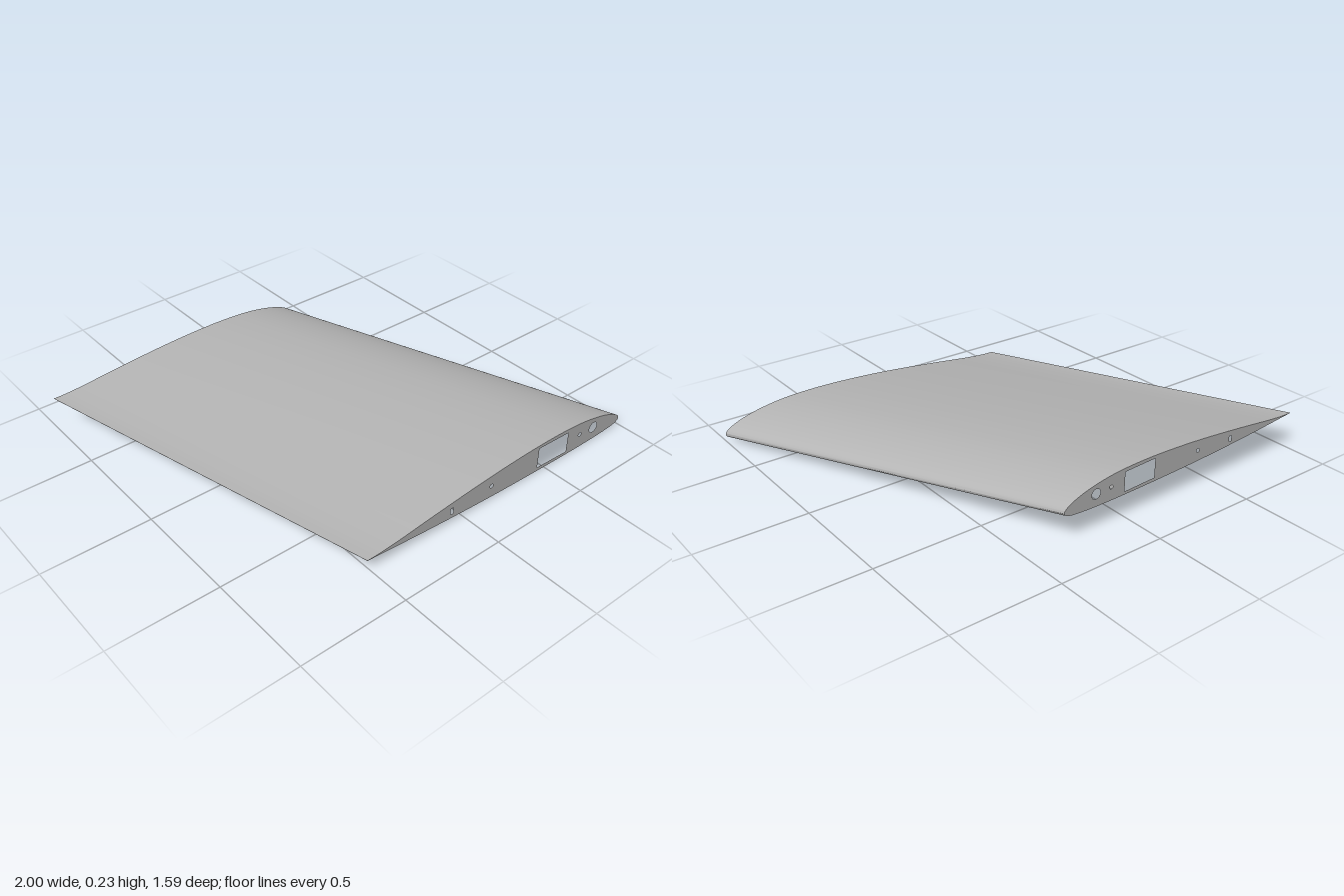
import * as THREE from 'three';
import { toCreasedNormals } from 'three/addons/utils/BufferGeometryUtils.js';

const HALF_SPAN = 0.795;
const TAIL_X = -0.515, TAIL_Y = 0.06; // trailing edge of the front section
const TAPER = 0.871, TWIST = 0.0145; // size and nose-down shear of the rear section

// Airfoil of the front end: trailing edge, over the top, round the nose, back underneath
const AIRFOIL = [
  [-0.515, 0.06], [-0.46, 0.061], [-0.36, 0.069], [-0.2, 0.088], [0, 0.11], [0.2, 0.128],
  [0.4, 0.139], [0.55, 0.141], [0.7, 0.134], [0.82, 0.116], [0.91, 0.092], [0.965, 0.069],
  [0.992, 0.05], [1, 0.036], [0.993, 0.023], [0.965, 0.012], [0.9, 0.005], [0.8, 0.001],
  [0.65, 0], [0.45, 0.003], [0.2, 0.01], [0, 0.02], [-0.2, 0.033], [-0.515, 0.059],
];

function roundHole(x, y, r) {
  return new THREE.Path().absarc(x, y, r, 0, Math.PI * 2, true);
}

function polygonHole(corners) {
  return new THREE.Path(corners.map(([x, y]) => new THREE.Vector2(x, y)));
}

function wingShape() {
  const curve = new THREE.CatmullRomCurve3(
    AIRFOIL.map(([x, y]) => new THREE.Vector3(x, y, 0)), false, 'centripetal');
  const shape = new THREE.Shape(
    curve.getPoints((AIRFOIL.length - 1) * 5).map((p) => new THREE.Vector2(p.x, p.y)));
  shape.holes.push(
    polygonHole([[0.452, 0.125], [0.64, 0.119], [0.64, 0.016], [0.452, 0.022]]), // spar channel
    polygonHole([[-0.071, 0.075], [-0.055, 0.075], [-0.055, 0.044], [-0.071, 0.044]]), // rear slot
    roundHole(0.815, 0.067, 0.026), // nose tube
    roundHole(0.724, 0.07, 0.01), // front pin hole
    roundHole(0.165, 0.07, 0.01), // middle pin hole
  );
  return shape;
}

// Sweep, taper, raise and twist the straight extrusion towards the rear end
function sweep(geometry) {
  const pos = geometry.attributes.position;
  for (let i = 0; i < pos.count; i++) {
    const t = 1 - pos.getZ(i); // 0 at the front end, 1 at the rear end
    const x = pos.getX(i), y = pos.getY(i);
    const rearX = -1 + (x - TAIL_X) * TAPER;
    const rearY = 0.172 + (y - TAIL_Y) * TAPER - TWIST * (x - TAIL_X) * TAPER;
    pos.setXYZ(i,
      THREE.MathUtils.lerp(x, rearX, t),
      THREE.MathUtils.lerp(y, rearY, t),
      HALF_SPAN * (1 - 2 * t));
  }
  return geometry;
}

export function createModel() {
  const group = new THREE.Group();
  group.name = 'wingSection';

  const grey = new THREE.MeshStandardMaterial({ color: 0xb3b3b3 });
  grey.name = 'plainGrey';

  // Solid wing panel with its channels running from end to end
  const geometry = sweep(new THREE.ExtrudeGeometry(wingShape(), {
    depth: 1, steps: 4, curveSegments: 12, bevelEnabled: false,
  }));
  const panel = new THREE.Mesh(toCreasedNormals(geometry, 0.7), grey);
  panel.name = 'wingPanel';
  group.add(panel);

  return group;
}
